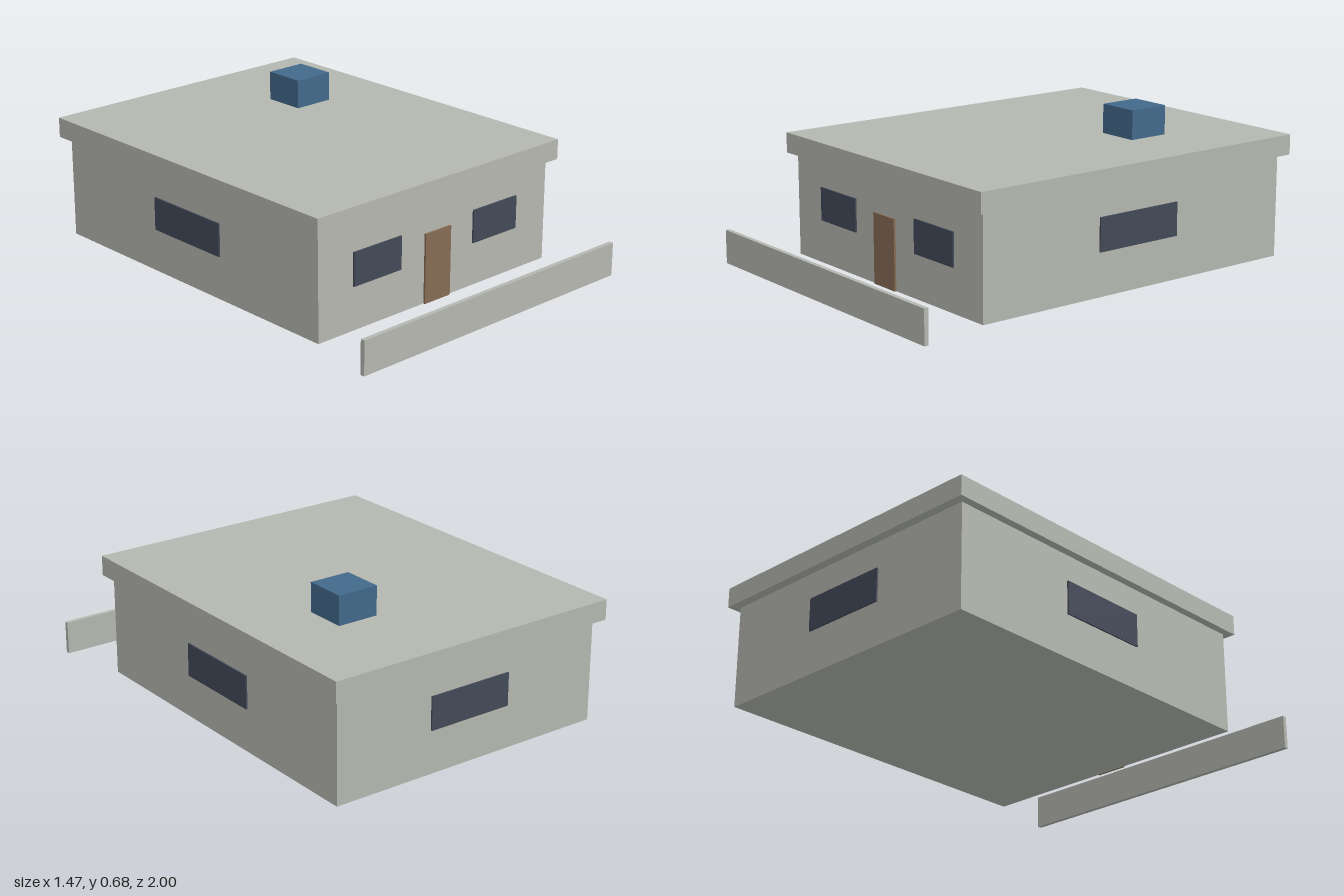
import * as THREE from 'three';

const material = (name, color) => {
  const m = new THREE.MeshStandardMaterial({ color });
  m.name = name;
  return m;
};

export function createModel() {
  const concrete = material('concrete grey', 0xb4b7af);
  const glass = material('dark glass', 0x434958);
  const wood = material('door brown', 0x866c54);
  const blue = material('tank blue', 0x41698b);

  const house = new THREE.Group();
  house.name = 'house';

  // Adds a box spanning the given ranges on each axis
  const box = (name, mat, [x0, x1], [y0, y1], [z0, z1]) => {
    const mesh = new THREE.Mesh(new THREE.BoxGeometry(x1 - x0, y1 - y0, z1 - z0), mat);
    mesh.position.set((x0 + x1) / 2, (y0 + y1) / 2, (z0 + z1) / 2);
    mesh.name = name;
    house.add(mesh);
  };

  // Main volumes
  box('walls', concrete, [-0.665, 0.665], [0, 0.46], [-0.96, 0.665]);
  box('roofSlab', concrete, [-0.7, 0.7], [0.46, 0.55], [-1, 0.7]);
  box('waterTank', blue, [0.17, 0.36], [0.55, 0.68], [-0.57, -0.38]);
  box('boundaryWall', concrete, [-0.735, 0.735], [0, 0.15], [0.98, 1]);

  // Door and windows as thin plates on the walls
  const sill = [0.193, 0.341];
  box('door', wood, [-0.074, 0.074], [0, 0.311], [0.665, 0.674]);
  box('frontWindowLeft', glass, [0.212, 0.477], sill, [0.665, 0.672]);
  box('frontWindowRight', glass, [-0.477, -0.212], sill, [0.665, 0.672]);
  box('backWindow', glass, [-0.2, 0.2], sill, [-0.967, -0.96]);
  box('sideWindowLeft', glass, [0.665, 0.672], sill, [-0.36, 0.065]);
  box('sideWindowRight', glass, [-0.672, -0.665], sill, [-0.36, 0.065]);

  return house;
}
